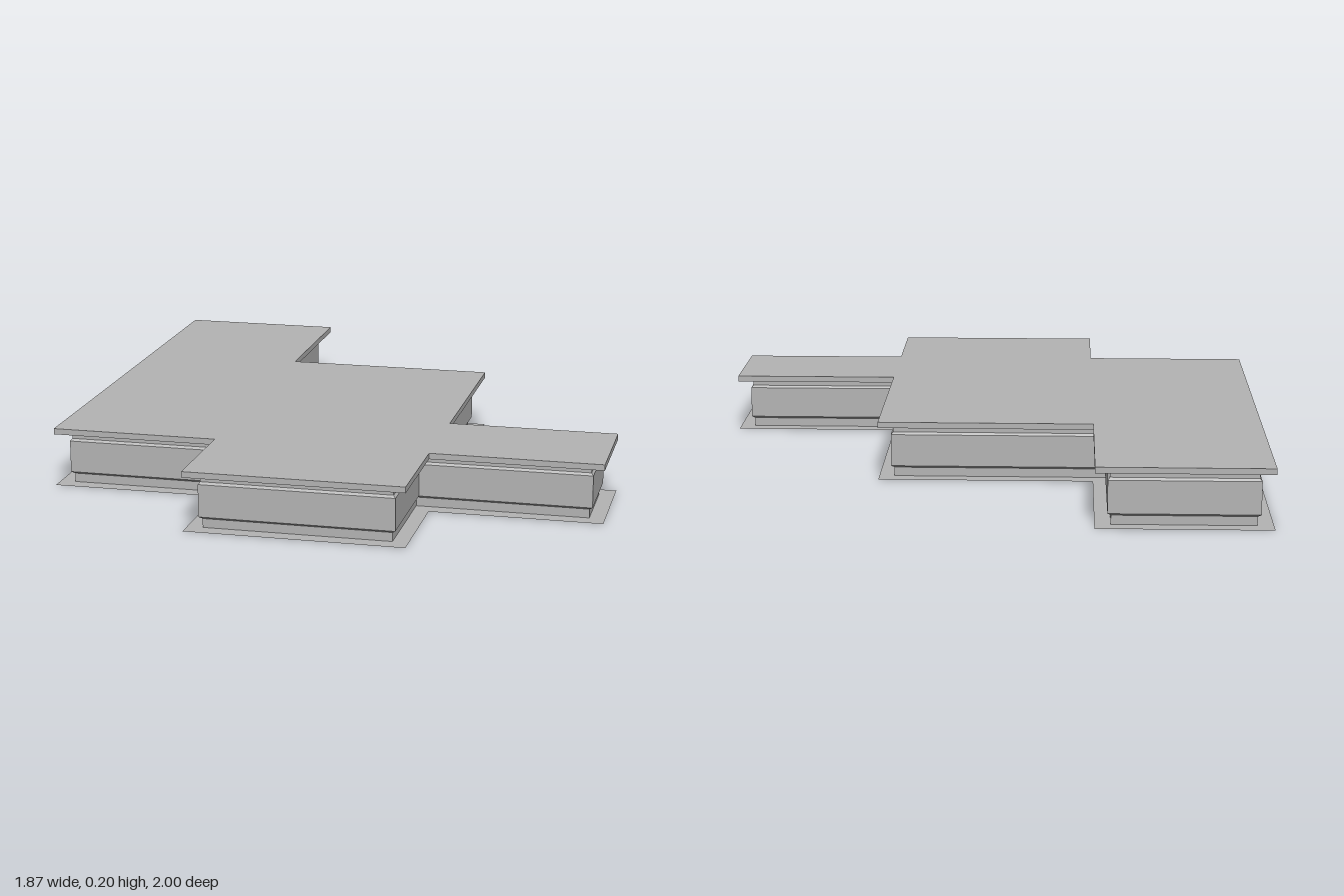
import * as THREE from 'three';

// Stepped plan outline as [x, z], walked clockwise seen from above
const OUTLINE = [
  [-0.935, -1], [-0.368, -1], [-0.368, -0.435], [0.36, -0.435],
  [0.36, 0.265], [0.935, 0.265], [0.935, 0.628], [0.36, 0.628],
  [0.36, 1], [-0.368, 1], [-0.368, 0.628], [-0.935, 0.628],
];

// Moves every right-angled corner inwards by d
function inset(d) {
  const n = OUTLINE.length;
  const inward = (a, b) => [-Math.sign(b[1] - a[1]), Math.sign(b[0] - a[0])];
  return OUTLINE.map((p, i) => {
    const u = inward(OUTLINE[(i + n - 1) % n], p);
    const v = inward(p, OUTLINE[(i + 1) % n]);
    return [p[0] + d * (u[0] + v[0]), p[1] + d * (u[1] + v[1])];
  });
}

// Wall band between two levels, each given as [inset, y]
function wallBand([d0, y0], [d1, y1]) {
  const low = inset(d0), high = inset(d1), pos = [];
  low.forEach((p, i) => {
    const j = (i + 1) % low.length;
    const a = [p[0], y0, p[1]], b = [low[j][0], y0, low[j][1]];
    const c = [high[j][0], y1, high[j][1]], e = [high[i][0], y1, high[i][1]];
    pos.push(...a, ...c, ...b, ...a, ...e, ...c);
  });
  const geo = new THREE.BufferGeometry();
  geo.setAttribute('position', new THREE.Float32BufferAttribute(pos, 3));
  geo.computeVertexNormals();
  return geo;
}

export function createModel() {
  const group = new THREE.Group();
  const grey = new THREE.MeshStandardMaterial({ color: 0xb4b4b4, side: THREE.DoubleSide });
  grey.name = 'grey';
  const add = (name, geo) => {
    const mesh = new THREE.Mesh(geo, grey);
    mesh.name = name;
    group.add(mesh);
  };
  const shape = new THREE.Shape(OUTLINE.map(([x, z]) => new THREE.Vector2(x, -z)));

  // Paper-thin floor sheet and the overhanging roof slab
  add('floorSheet', new THREE.ShapeGeometry(shape).rotateX(-Math.PI / 2));
  add('roofSlab', new THREE.ExtrudeGeometry(shape, { depth: 0.02, bevelEnabled: false })
    .rotateX(-Math.PI / 2).translate(0, 0.18, 0));

  // Wall profile: plinth, undercut, main wall, shoulder and frieze
  const profile = [[0.052, 0], [0.052, 0.03], [0.041, 0.038], [0.041, 0.147], [0.048, 0.155], [0.048, 0.18]];
  ['plinth', 'undercut', 'mainWall', 'shoulder', 'frieze'].forEach((name, i) =>
    add(name, wallBand(profile[i], profile[i + 1])));
  return group;
}
